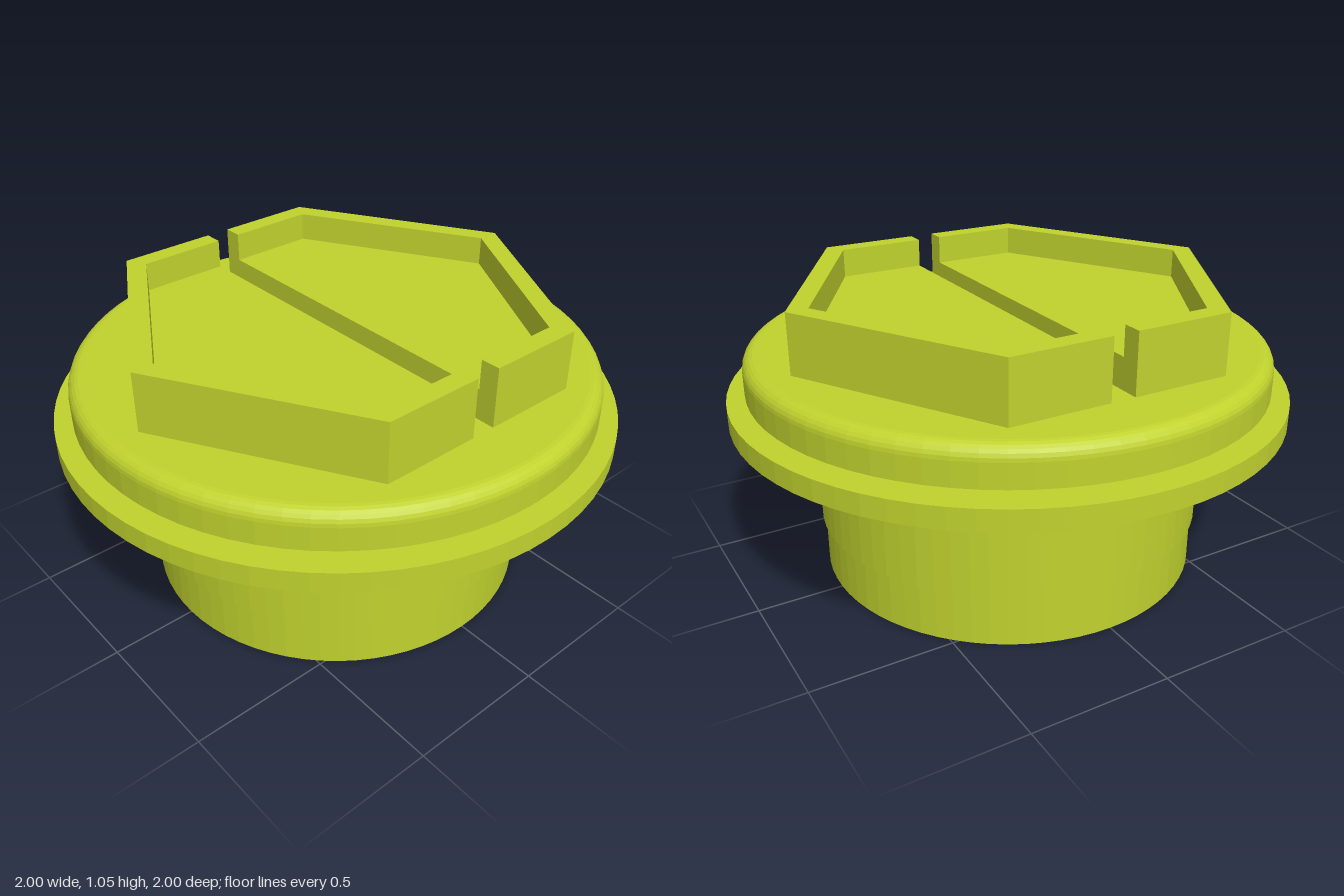
import * as THREE from 'three';

const SEGMENTS = 72;

export function createModel() {
  const group = new THREE.Group();
  const material = new THREE.MeshStandardMaterial({ color: 0xc0d22e, flatShading: true });

  const add = (name, geometry, parent = group) => {
    const mesh = new THREE.Mesh(geometry, material);
    mesh.name = name;
    parent.add(mesh);
    return mesh;
  };
  const lathe = (points) =>
    new THREE.LatheGeometry(points.map(([r, y]) => new THREE.Vector2(r, y)), SEGMENTS);
  // Vertical prism from a plan outline, between two heights
  const prism = (outline, y0, y1) => {
    const shape = new THREE.Shape(outline.map(([x, z]) => new THREE.Vector2(x, z)));
    return new THREE.ExtrudeGeometry(shape, { depth: y1 - y0, bevelEnabled: false })
      .rotateX(-Math.PI / 2)
      .translate(0, y0, 0);
  };

  // Hollow stepped sleeve closed by a cap with a rounded top edge
  const fillet = [];
  for (let i = 0; i <= 6; i++) {
    const a = (i / 6) * Math.PI / 2;
    fillet.push([0.885 + 0.05 * Math.cos(a), 0.79 + 0.05 * Math.sin(a)]);
  }
  add('plugBody', lathe([
    [0, 0.77], [0.648, 0.77], [0.648, 0], [0.692, 0], [0.692, 0.19],
    [0.704, 0.19], [0.704, 0.705], [0.935, 0.705], ...fillet, [0, 0.84],
  ]));

  // Sealing washer just below the cap
  add('sealingWasher', lathe([
    [0.7, 0.605], [1, 0.605], [1, 0.68], [0.7, 0.68], [0.7, 0.605],
  ]));

  // Key rib inside the sleeve
  add('innerRib', new THREE.BoxGeometry(0.07, 0.66, 0.17).translate(0, 0.45, 0.583));

  // Slotted hexagonal grip: two halves, each a raised floor inside a rim
  const outer = [[0.045, -0.703], [0.405, -0.703], [0.81, 0], [0.405, 0.703], [0.045, 0.703]];
  const inner = [[0.045, -0.633], [0.365, -0.633], [0.732, 0], [0.365, 0.633], [0.045, 0.633]];
  for (const side of ['left', 'right']) {
    const half = new THREE.Group();
    half.name = side + 'GripHalf';
    half.rotation.y = side === 'left' ? 0 : Math.PI;
    add('gripRim', prism([...outer, ...[...inner].reverse()], 0.84, 1.055), half);
    add('gripFloor', prism(inner, 0.84, 0.95), half);
    group.add(half);
  }

  return group;
}
